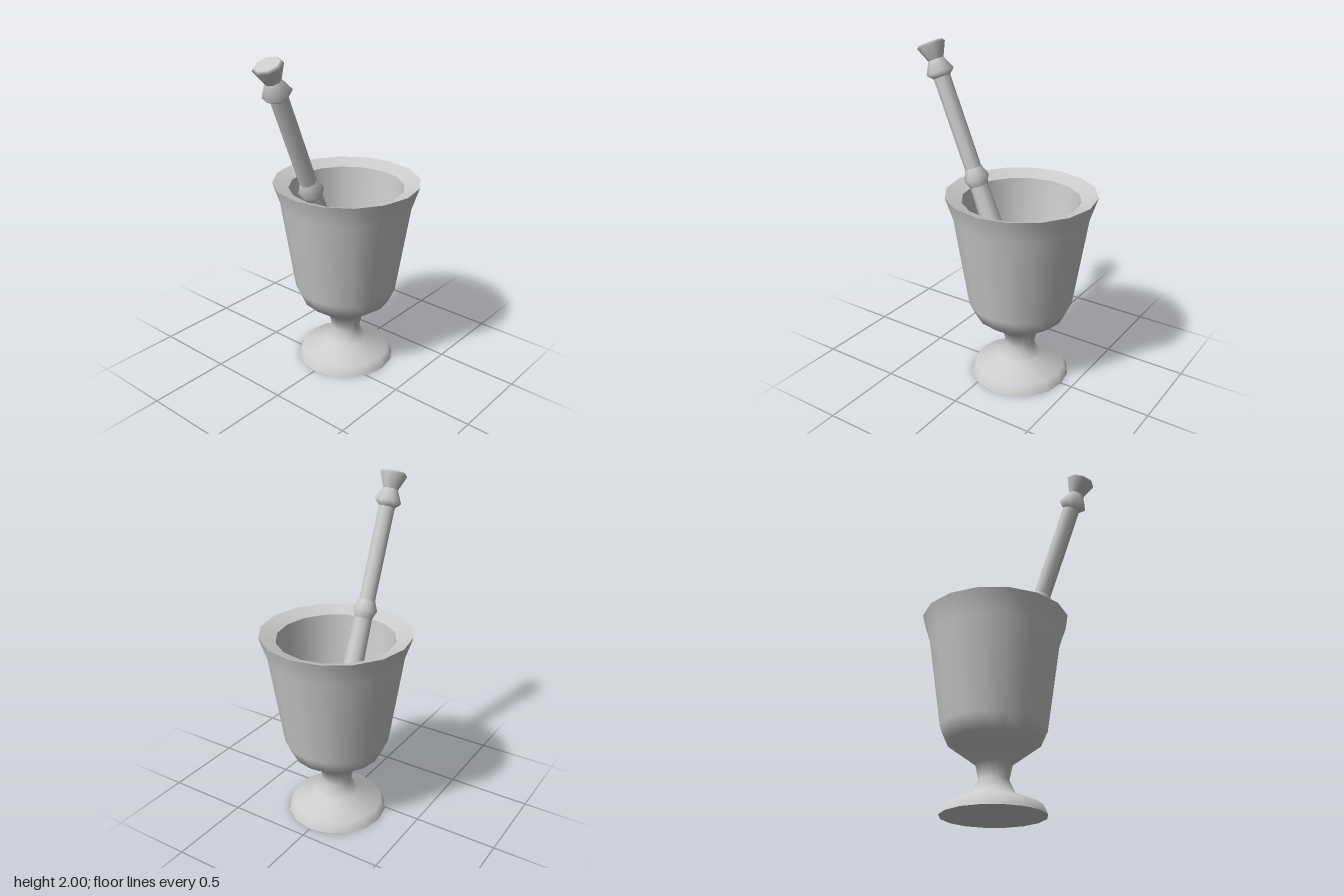
import * as THREE from 'three';

const material = new THREE.MeshStandardMaterial({ color: 0xcccccc });

function addMesh(parent, name, geometry) {
  const mesh = new THREE.Mesh(geometry, material);
  mesh.name = name;
  parent.add(mesh);
  return mesh;
}

// Revolves [radius, height] pairs; rising pairs face outward, falling pairs inward
function turned(parent, name, profile, sides) {
  const points = profile.map(([r, y]) => new THREE.Vector2(r, y));
  return addMesh(parent, name, new THREE.LatheGeometry(points, sides));
}

function createMortar() {
  const mortar = new THREE.Group();
  mortar.name = 'mortar';
  const sides = 16;

  // Foot, stem and flared cup wall
  turned(mortar, 'outerWall', [
    [0.3, 0], [0.275, 0.057], [0.125, 0.12], [0.087, 0.2], [0.106, 0.29],
    [0.27, 0.41], [0.312, 0.5], [0.395, 1.045], [0.44, 1.18],
  ], sides);

  // Sloping lip, then the hollow of the cup
  turned(mortar, 'lip', [[0.44, 1.18], [0.345, 1.145]], sides);
  turned(mortar, 'innerWall', [[0.345, 1.145], [0.262, 0.45], [0.23, 0.42], [0, 0.42]], sides);

  // Eight-sided floor inside the cup
  const floor = new THREE.CircleGeometry(0.26, 8, THREE.MathUtils.degToRad(11));
  floor.rotateX(-Math.PI / 2);
  addMesh(mortar, 'cupFloor', floor).position.y = 0.43;

  // Underside of the foot
  const underside = new THREE.CircleGeometry(0.3, sides);
  underside.rotateX(Math.PI / 2);
  addMesh(mortar, 'footUnderside', underside);

  mortar.position.x = 0.13;
  return mortar;
}

function createPestle() {
  const pestle = new THREE.Group();
  pestle.name = 'pestle';
  const sides = 8;

  // Profiles measured down from the centre of the top knob
  turned(pestle, 'grindingHead', [
    [0, -1.665], [0.065, -1.655], [0.11, -1.6], [0.065, -1.36], [0.055, -0.87],
  ], sides);
  turned(pestle, 'lowerCollar', [[0.055, -0.87], [0.076, -0.82], [0.05, -0.76]], sides);
  turned(pestle, 'shaft', [[0.05, -0.76], [0.05, -0.205]], sides);
  turned(pestle, 'upperCollar', [[0.05, -0.205], [0.083, -0.174], [0.046, -0.1]], sides);
  turned(pestle, 'knob', [[0.046, -0.1], [0.084, -0.015], [0.072, 0]], sides);
  turned(pestle, 'knobTop', [[0.072, 0], [0, 0]], sides);

  // Leans against the rim
  pestle.position.set(-0.497, 1.968, 0);
  pestle.rotation.z = THREE.MathUtils.degToRad(22.4);
  return pestle;
}

export function createModel() {
  const model = new THREE.Group();
  model.name = 'mortarAndPestle';
  model.add(createMortar(), createPestle());
  return model;
}
